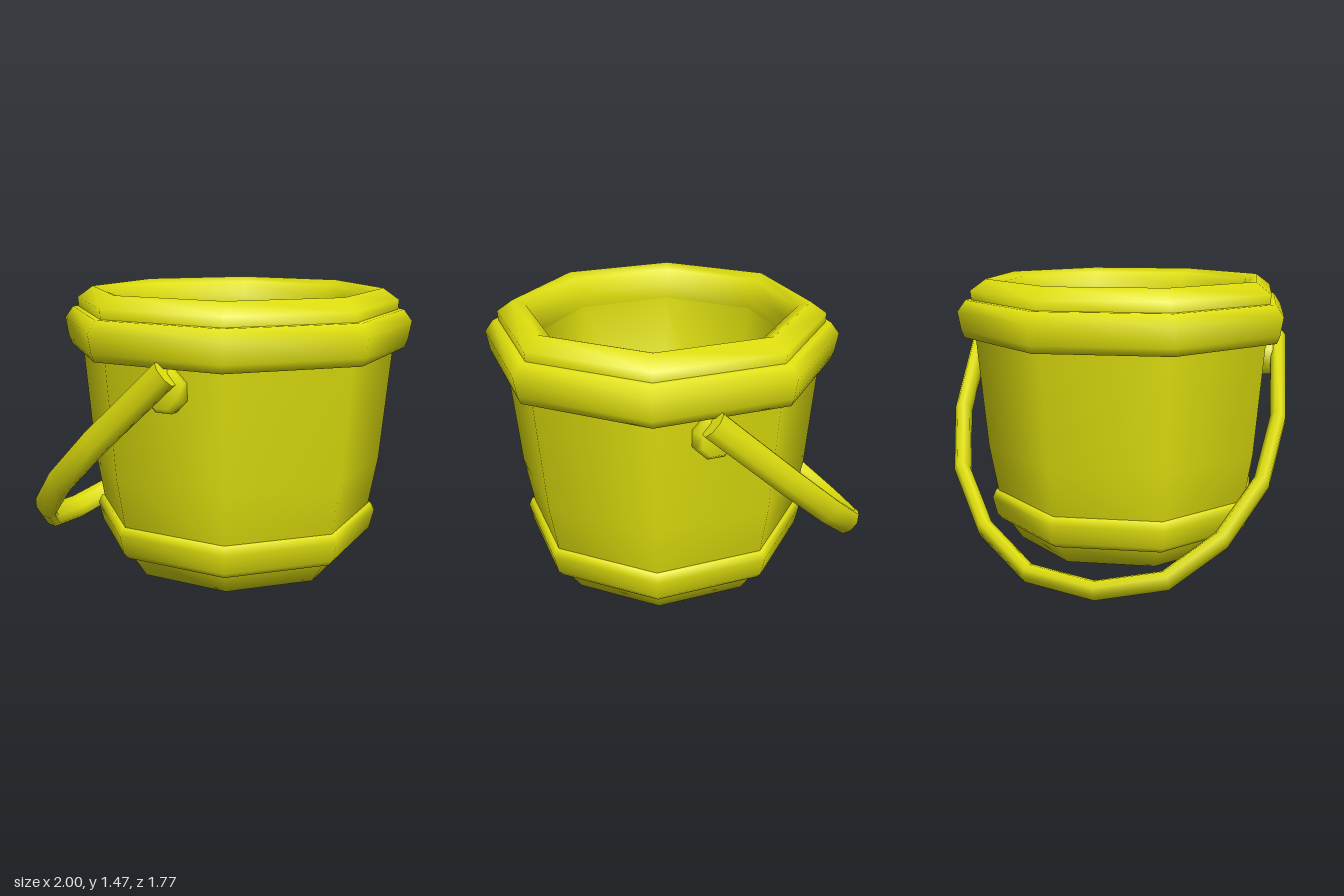
import * as THREE from 'three';

const CENTER_X = 0.14;
const yellow = new THREE.MeshStandardMaterial({ color: 0xe0e00e });
yellow.name = 'yellow';

function addMesh(parent, name, geometry) {
  const mesh = new THREE.Mesh(geometry, yellow);
  mesh.name = name;
  parent.add(mesh);
  return mesh;
}

// Octagonal turned part; the profile lists [distance to flat side, height]
function octagon(profile) {
  const k = 1 / Math.cos(Math.PI / 8);
  const points = profile.map(([r, y]) => new THREE.Vector2(r * k, y));
  return new THREE.LatheGeometry(points, 8, Math.PI / 8);
}

// Oval section swept along a flat path of [x, z] points; a is the half width in the plane, b across it
function sweep(path, a, b, sides) {
  const positions = [], index = [];
  const pts = path.map(([x, z]) => new THREE.Vector2(x, z));
  const last = pts.length - 1;
  pts.forEach((p, i) => {
    const before = p.clone().sub(pts[Math.max(i - 1, 0)]).normalize();
    const after = pts[Math.min(i + 1, last)].clone().sub(p).normalize();
    const t = before.add(after).normalize();
    for (let j = 0; j < sides; j++) {
      const ang = (j + 0.5) / sides * Math.PI * 2;
      const s = a * Math.cos(ang);
      positions.push(p.x + t.y * s, b * Math.sin(ang), p.y - t.x * s);
    }
  });
  for (let i = 0; i < last; i++) {
    for (let j = 0; j < sides; j++) {
      const p = i * sides + j, q = i * sides + (j + 1) % sides;
      index.push(p, q, p + sides, q, q + sides, p + sides);
    }
  }
  // End caps with their own corners, so that they stay flat
  for (const end of [0, last]) {
    const start = positions.length / 3;
    for (let j = 0; j < sides * 3; j++) positions.push(positions[end * sides * 3 + j]);
    for (let j = 1; j < sides - 1; j++) {
      if (end) index.push(start, start + j, start + j + 1);
      else index.push(start, start + j + 1, start + j);
    }
  }
  const g = new THREE.BufferGeometry();
  g.setAttribute('position', new THREE.Float32BufferAttribute(positions, 3));
  g.setIndex(index);
  g.computeVertexNormals();
  return g;
}

export function createModel() {
  const model = new THREE.Group();
  model.name = 'bucket';
  const pail = new THREE.Group();
  pail.name = 'pail';
  pail.position.x = CENTER_X;
  model.add(pail);

  addMesh(pail, 'wall', octagon([
    [0, 0], [0.5625, 0], [0.637, 0.12], [0.68, 0.29], [0.722, 0.55], [0.772, 1.18]]));
  addMesh(pail, 'lowerBand', octagon([
    [0.62, 0.12], [0.665, 0.12], [0.69, 0.15], [0.712, 0.25], [0.695, 0.29], [0.66, 0.29]]));
  addMesh(pail, 'upperBand', octagon([
    [0.74, 1.155], [0.825, 1.155], [0.84, 1.195], [0.856, 1.295], [0.815, 1.355], [0.76, 1.355]]));
  addMesh(pail, 'rim', octagon([
    [0.785, 1.34], [0.79, 1.405], [0.712, 1.465], [0.65, 1.44], [0.61, 1.36], [0.615, 1.28]]));
  addMesh(pail, 'inside', octagon([[0.615, 1.28], [0.56, 0.12], [0, 0.1]]));

  // Bevelled knobs that hold the handle, front and back
  const knobProfile = [[0, 0.7], [0.105, 0.7], [0.105, 0.8], [0.08, 0.83], [0, 0.83]];
  for (const side of [1, -1]) {
    const knob = addMesh(model, side > 0 ? 'frontKnob' : 'backKnob', octagon(knobProfile));
    knob.rotation.x = side * Math.PI / 2;
    knob.position.set(0.165, 1.045, 0);
  }

  // Lowered handle: half hoop tilted about the z axis
  const half = [[0.36, 0.84], [-0.19, 0.843], [-0.57, 0.768], [-0.9, 0.583], [-1.125, 0.33]];
  const path = [...half, [-1.195, 0], ...half.map(([x, z]) => [x, -z]).reverse()];
  const handle = addMesh(model, 'handle', sweep(path, 0.043, 0.073, 8));
  handle.rotation.z = Math.atan(0.926);
  handle.position.set(-0.065, 0.89, 0);
  return model;
}
